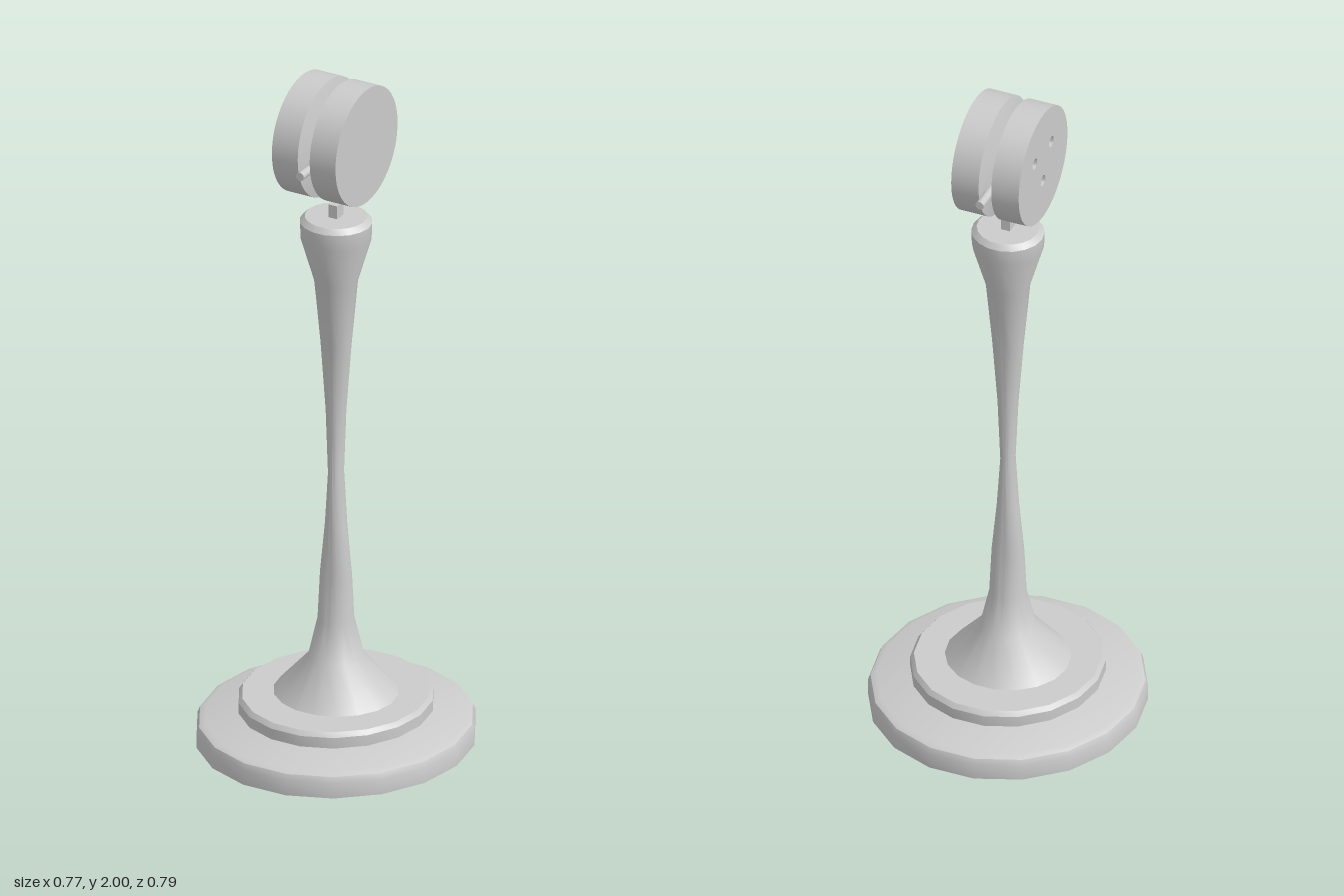
import * as THREE from 'three';
import { toCreasedNormals } from 'three/addons/utils/BufferGeometryUtils.js';

const material = new THREE.MeshStandardMaterial({ color: 0xcccccc });
const SIDES = 18;

function addMesh(parent, name, geometry) {
  const mesh = new THREE.Mesh(geometry, material);
  mesh.name = name;
  parent.add(mesh);
  return mesh;
}

// Closed turned solid with oval levels: each level is [y, x radius, z radius]
function ovalTurning(levels) {
  const all = [[levels[0][0], 0, 0], ...levels, [levels[levels.length - 1][0], 0, 0]];
  const points = all.map(([y]) => new THREE.Vector2(1, y));
  const geo = new THREE.LatheGeometry(points, SIDES, Math.PI / 2);
  const pos = geo.attributes.position;
  for (let i = 0; i < pos.count; i++) {
    const [, rx, rz] = all[i % all.length];
    pos.setX(i, pos.getX(i) * rx);
    pos.setZ(i, pos.getZ(i) * rz);
  }
  return toCreasedNormals(geo, 0.6);
}

export function createModel() {
  const model = new THREE.Group();
  model.name = 'pedestalWithHead';

  // Stepped base with bevelled rims
  addMesh(model, 'baseDisk', ovalTurning([
    [0, 0.384, 0.403], [0.045, 0.384, 0.403], [0.062, 0.377, 0.396], [0.07, 0.36, 0.378],
  ]));
  addMesh(model, 'baseNeck', ovalTurning([[0.065, 0.185, 0.192], [0.1, 0.185, 0.192]]));
  addMesh(model, 'upperDisk', ovalTurning([
    [0.095, 0.268, 0.283], [0.127, 0.268, 0.283], [0.14, 0.258, 0.272],
  ]));

  // Waisted column, flared at foot and top
  addMesh(model, 'column', ovalTurning([
    [0.138, 0.177, 0.171], [0.25, 0.076, 0.081], [0.36, 0.052, 0.05], [0.5, 0.046, 0.039],
    [0.65, 0.031, 0.032], [0.81, 0.02, 0.028], [1.0, 0.029, 0.029], [1.2, 0.045, 0.035],
    [1.4, 0.062, 0.06], [1.53, 0.1, 0.097], [1.577, 0.102, 0.098], [1.592, 0.087, 0.085],
  ]));

  // Small post on the column
  const post = addMesh(model, 'post', new THREE.BoxGeometry(0.027, 0.045, 0.036));
  post.position.y = 1.6085;

  // Round head, its axis along x, with a groove round the middle
  const head = new THREE.Group();
  head.name = 'head';
  head.position.set(-0.004, 1.828, 0);
  model.add(head);

  const R = 0.172, HALF = 0.101;
  const profile = [
    [R, -HALF], [R, -0.019], [0.135, -0.011], [0.1, -0.005], [0.077, 0],
    [0.1, 0.005], [0.135, 0.011], [R, 0.019], [R, HALF], [0, HALF],
  ].map(([r, y]) => new THREE.Vector2(r, y));
  const body = new THREE.LatheGeometry(profile, 64);
  body.rotateZ(-Math.PI / 2);
  addMesh(head, 'groovedBody', toCreasedNormals(body, 0.6));

  // End face with three round holes; shape x runs along +z
  const holes = [[0.058, 0.044], [-0.058, 0.044], [0, -0.05]];
  const HOLE = 0.016, DEPTH = 0.04;
  const face = new THREE.Shape().absarc(0, 0, R, 0, Math.PI * 2);
  for (const [z, y] of holes) {
    face.holes.push(new THREE.Path().absarc(z, y, HOLE, 0, Math.PI * 2, true));
  }
  const faceMesh = addMesh(head, 'drilledFace', new THREE.ShapeGeometry(face, 32));
  faceMesh.rotation.y = -Math.PI / 2;
  faceMesh.position.x = -HALF;

  // Hole linings: wall facing inwards and a floor
  const lining = new THREE.LatheGeometry([
    new THREE.Vector2(HOLE, DEPTH), new THREE.Vector2(HOLE, 0), new THREE.Vector2(0, 0),
  ], 24);
  lining.rotateZ(Math.PI / 2);
  const sharpLining = toCreasedNormals(lining, 0.6);
  for (const [z, y] of holes) {
    addMesh(head, 'holeLining', sharpLining).position.set(-HALF + DEPTH, y, z);
  }

  // Pin through the groove, front to back
  const pin = addMesh(model, 'crossPin', new THREE.CylinderGeometry(0.0125, 0.0125, 0.4, 16));
  pin.rotation.x = Math.PI / 2;
  pin.position.y = 1.795;

  return model;
}
